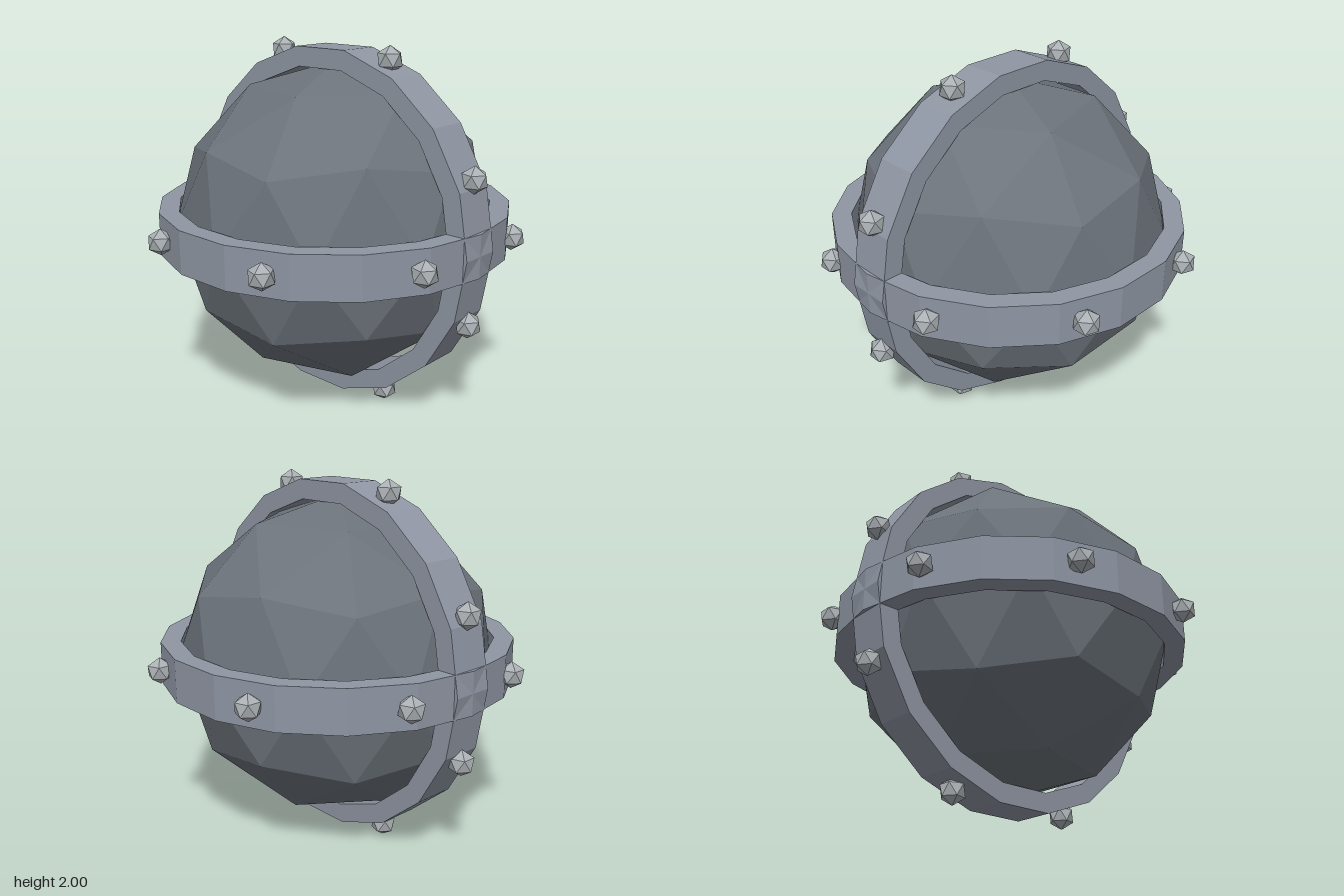
import * as THREE from 'three';

const CENTER_Y = 1;
const CORE_RADIUS = 0.89;
const RING_OUTER = 0.982;
const RING_INNER = 0.873;
const RING_WIDTH = 0.235;
const RING_SIDES = 18;
const STUD_RADIUS = 0.073;
const STUD_ORBIT = 1.003;

function material(name, color) {
  const m = new THREE.MeshStandardMaterial({ color });
  m.name = name;
  m.flatShading = true;
  return m;
}

// Icosahedron turned so that one vertex points straight up
function uprightIcosahedron(radius, detail) {
  const geometry = new THREE.IcosahedronGeometry(radius, detail);
  geometry.rotateZ(-Math.atan(2 / (1 + Math.sqrt(5))));
  return geometry;
}

function polygonPoints(radius) {
  return Array.from({ length: RING_SIDES }, (_, i) => {
    const a = (i / RING_SIDES) * Math.PI * 2;
    return new THREE.Vector2(radius * Math.cos(a), radius * Math.sin(a));
  });
}

// Flat faceted hoop in the xy plane
function ringGeometry() {
  const shape = new THREE.Shape(polygonPoints(RING_OUTER));
  shape.holes.push(new THREE.Path(polygonPoints(RING_INNER)));
  const geometry = new THREE.ExtrudeGeometry(shape, { depth: RING_WIDTH, bevelEnabled: false });
  geometry.translate(0, 0, -RING_WIDTH / 2);
  return geometry;
}

export function createModel() {
  const model = new THREE.Group();
  model.name = 'bandedSphere';

  const coreMaterial = material('dark steel', 0x6c737b);
  const ringMaterial = material('band steel', 0x8f96a3);
  const studMaterial = material('pale steel', 0xaab0b4);

  const add = (name, geometry, mat) => {
    const mesh = new THREE.Mesh(geometry, mat);
    mesh.name = name;
    mesh.position.y = CENTER_Y;
    model.add(mesh);
    return mesh;
  };

  // Faceted core
  add('core', uprightIcosahedron(CORE_RADIUS, 1), coreMaterial);

  // Two crossing bands
  const hoop = ringGeometry();
  add('uprightBand', hoop, ringMaterial);
  add('levelBand', hoop, ringMaterial).rotation.x = Math.PI / 2;

  // Eight studs around each band, all kept upright
  const studGeometry = uprightIcosahedron(STUD_RADIUS, 0);
  for (let i = 0; i < 8; i++) {
    const a = ((i + 0.5) / 8) * Math.PI * 2;
    const u = STUD_ORBIT * Math.cos(a);
    const v = STUD_ORBIT * Math.sin(a);
    add('uprightBandStud', studGeometry, studMaterial).position.set(u, CENTER_Y + v, 0);
    add('levelBandStud', studGeometry, studMaterial).position.set(u, CENTER_Y, v);
  }

  return model;
}
